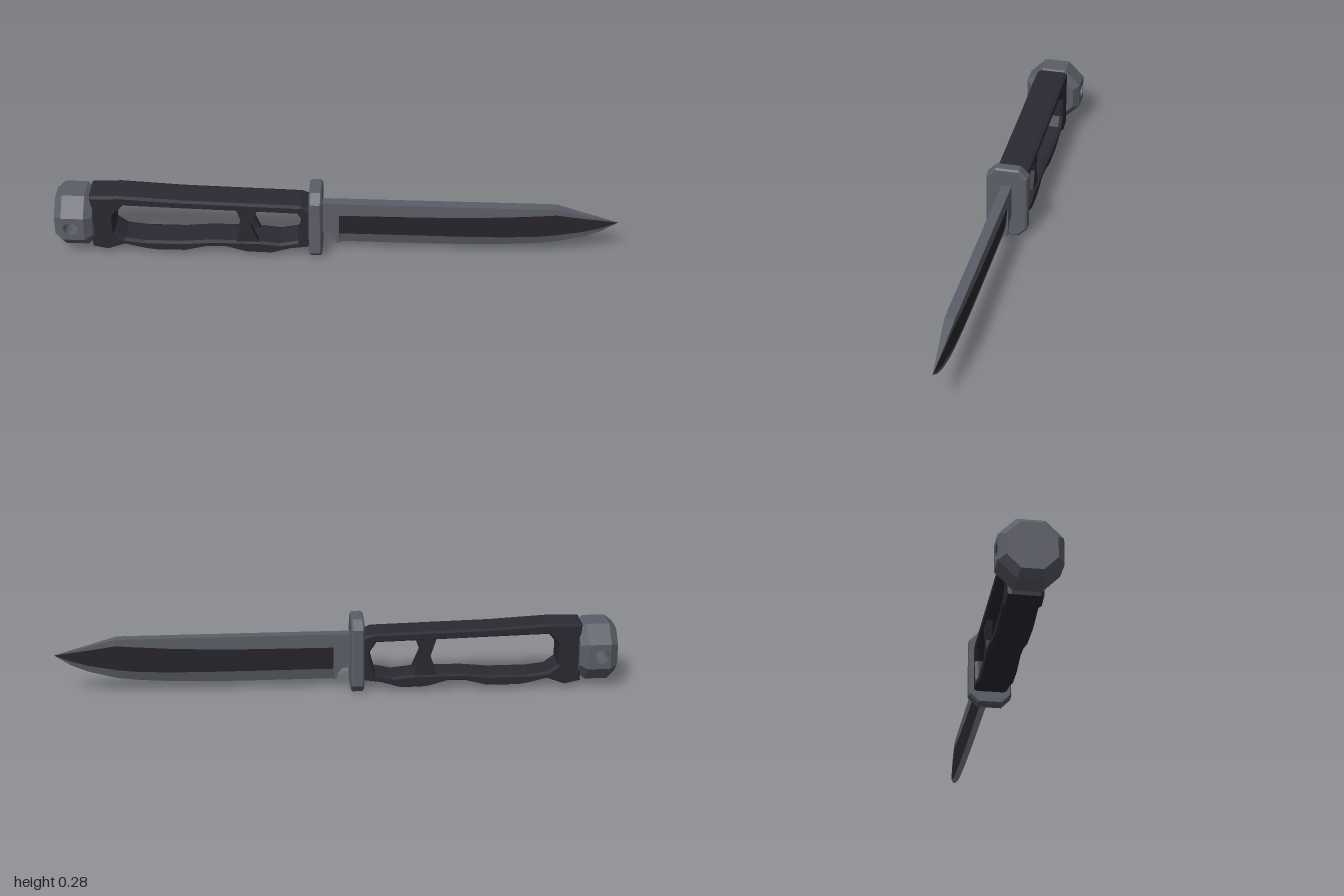
import * as THREE from 'three';

const metal = new THREE.MeshStandardMaterial({ color: 0x5c5e68 });
metal.name = 'gunmetal grey';
const grip = new THREE.MeshStandardMaterial({ color: 0x2b2932 });
grip.name = 'charcoal grip';
const dark = new THREE.MeshStandardMaterial({ color: 0x29272d });
dark.name = 'blackened steel';

const shapeOf = (pts) => new THREE.Shape(pts.map(([x, y]) => new THREE.Vector2(x, y)));

function add(parent, name, geometry, material) {
  const mesh = new THREE.Mesh(geometry, material);
  mesh.name = name;
  parent.add(mesh);
  return mesh;
}

// Skins rings of [x, y, z] points running along +x; keep(i, j) picks the panels
function loft(rings, keep = () => true) {
  const pos = [];
  for (let i = 0; i < rings.length - 1; i++) {
    const n = rings[i].length;
    for (let j = 0; j < n; j++) {
      if (!keep(i, j)) continue;
      const k = (j + 1) % n;
      const a = rings[i][j], b = rings[i + 1][j], c = rings[i + 1][k], d = rings[i][k];
      pos.push(...a, ...b, ...c, ...a, ...c, ...d);
    }
  }
  const g = new THREE.BufferGeometry();
  g.setAttribute('position', new THREE.Float32BufferAttribute(pos, 3));
  g.computeVertexNormals();
  return g;
}

// Extrusion centred on z with a one-step chamfer kept inside the outline
function plate(shape, depth, size, thickness) {
  const g = new THREE.ExtrudeGeometry(shape, {
    depth: depth - 2 * thickness, bevelEnabled: size > 0, bevelSize: size,
    bevelOffset: -size, bevelThickness: thickness, bevelSegments: 1, curveSegments: 8,
  });
  g.translate(0, 0, -depth / 2 + thickness);
  return g;
}

function makeBlade() {
  const group = new THREE.Group();
  group.name = 'blade';
  // x, spine, top of dark face, bottom of dark face, cutting edge, half widths
  const stations = [
    [0.01, 0.21, 0.16, 0.076, 0.035, 0.018, 0.010],
    [0.30, 0.21, 0.162, 0.076, 0.035, 0.018, 0.010],
    [0.45, 0.21, 0.165, 0.076, 0.036, 0.018, 0.010],
    [0.60, 0.21, 0.172, 0.078, 0.041, 0.018, 0.010],
    [0.72, 0.21, 0.181, 0.084, 0.050, 0.018, 0.009],
    [0.78, 0.21, 0.186, 0.091, 0.058, 0.017, 0.008],
    [0.88, 0.182, 0.169, 0.109, 0.085, 0.010, 0.005],
    [0.94, 0.167, 0.16, 0.126, 0.110, 0.005, 0.003],
    [1.00, 0.15, 0.15, 0.15, 0.15, 0, 0],
  ];
  const rings = stations.map(([x, t, a, b, e, w, v]) => [
    [x, e, 0], [x, b, v], [x, a, w], [x, t, w], [x, t, -w], [x, a, -w], [x, b, -v],
  ]);
  const isFace = (i, j) => j === 1 || j === 5;
  add(group, 'bladeSpineAndEdge', loft(rings, (i, j) => !isFace(i, j)), metal);
  add(group, 'bladeDarkFaces', loft(rings, isFace), dark);
  const ricasso = shapeOf([[-0.06, 0.085], [-0.02, 0.08], [-0.005, 0.062], [0, 0.04],
    [0.01, 0.036], [0.01, 0.21], [-0.06, 0.21]]);
  add(group, 'ricasso', plate(ricasso, 0.036, 0, 0), metal);
  return group;
}

function makeGuard() {
  const w = 0.075, c = 0.032, h = 0.275;
  const g = plate(shapeOf([[-w + c, 0], [w - c, 0], [w, c], [w, h - c],
    [w - c, h], [-w + c, h], [-w, h - c], [-w, c]]), 0.046, 0.006, 0.006);
  g.rotateY(Math.PI / 2);
  g.translate(-0.073, 0, 0);
  return new THREE.Mesh(g, metal);
}

function makeHandle() {
  const group = new THREE.Group();
  group.name = 'handle';
  // Frame with finger grooves below and one long window
  const frame = shapeOf([[-0.875, 0.022], [-0.82, 0.01], [-0.757, 0.034], [-0.69, 0.018],
    [-0.65, 0.012], [-0.54, 0.013], [-0.46, 0.034], [-0.40, 0.036], [-0.32, 0.014],
    [-0.23, 0.012], [-0.16, 0.034], [-0.085, 0.045], [-0.085, 0.205], [-0.125, 0.22],
    [-0.55, 0.23], [-0.77, 0.242], [-0.875, 0.238]]);
  frame.holes.push(shapeOf([[-0.794, 0.16], [-0.757, 0.203], [-0.35, 0.193], [-0.14, 0.188],
    [-0.115, 0.15], [-0.137, 0.066], [-0.2, 0.052], [-0.275, 0.06], [-0.355, 0.06],
    [-0.45, 0.06], [-0.55, 0.05], [-0.69, 0.05], [-0.757, 0.058], [-0.794, 0.086]]));
  add(group, 'gripFrame', plate(frame, 0.116, 0.006, 0.012), grip);
  // Hourglass struts on both sides of the window
  const strut = shapeOf([[-0.36, 0.05], [-0.272, 0.05], [-0.304, 0.128], [-0.277, 0.2],
    [-0.355, 0.2], [-0.332, 0.128]]);
  for (const side of [1, -1]) {
    add(group, 'gripStrut', plate(strut, 0.02, 0, 0), grip).position.z = side * 0.04;
  }
  return group;
}

function makePommel() {
  const group = new THREE.Group();
  group.name = 'pommel';
  const r = 0.105, s = 0.046, holeX = -0.94, holeR = 0.026;
  const octagon = [[-r, s], [-s, r], [s, r], [r, s], [r, -s], [s, -r], [-s, -r], [-r, -s]];
  const rings = [[-1, 0], [-1, 0.78], [-0.972, 1], [-0.892, 1], [-0.865, 0.8], [-0.865, 0]]
    .map(([x, k]) => octagon.map(([y, z]) => [x, y * k, z * k]));
  add(group, 'pommelBody', loft(rings, (i, j) => i !== 2 || (j !== 1 && j !== 5)), metal);
  // Flat cheeks pierced by the lanyard hole
  const cheek = shapeOf([[-0.972, -s], [-0.892, -s], [-0.892, s], [-0.972, s]]);
  cheek.holes.push(new THREE.Path().absarc(holeX, 0, holeR, 0, Math.PI * 2, true));
  for (const turn of [0, Math.PI]) {
    const g = new THREE.ShapeGeometry(cheek, 8);
    g.translate(0, 0, r);
    g.rotateX(turn);
    add(group, 'pommelCheek', g, metal);
  }
  // Inward-facing hole wall
  const wall = new THREE.CylinderGeometry(holeR, holeR, 2 * r, 16, 1, true).toNonIndexed();
  wall.scale(-1, 1, 1);
  wall.rotateX(Math.PI / 2);
  wall.translate(holeX, 0, 0);
  wall.computeVertexNormals();
  add(group, 'lanyardHole', wall, metal);
  group.position.y = 0.132;
  return group;
}

export function createModel() {
  const model = new THREE.Group();
  model.name = 'knife';
  const guard = makeGuard();
  guard.name = 'guard';
  model.add(makeBlade(), guard, makeHandle(), makePommel());
  return model;
}
